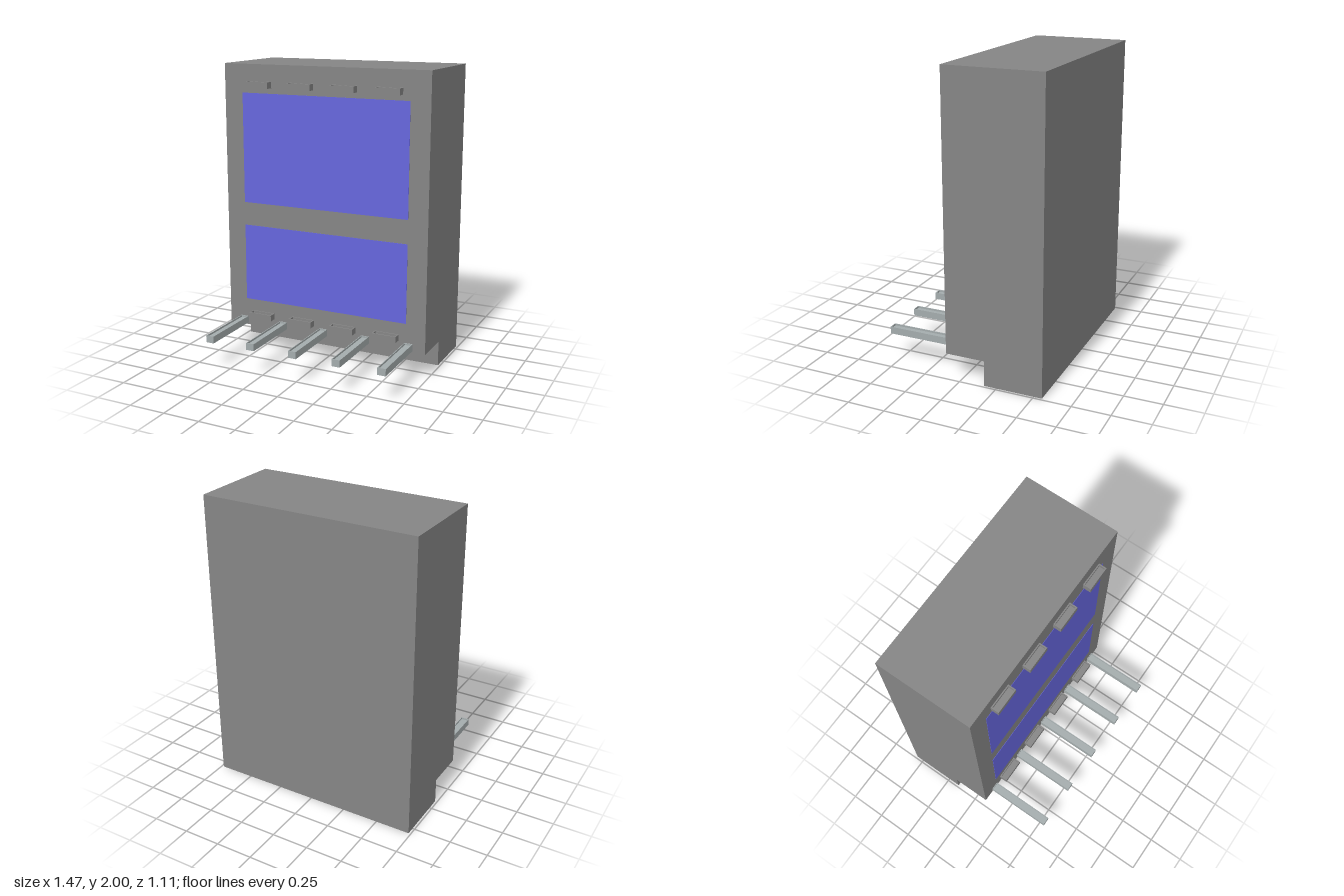
import * as THREE from 'three';

const darkGrey = new THREE.MeshStandardMaterial({ color: 0x858585 });
const metal = new THREE.MeshStandardMaterial({ color: 0xa4acad });
const blue = new THREE.MeshStandardMaterial({ color: 0x6666dd });

function rectangle(Type, w, d) {
  return new Type([
    new THREE.Vector2(-w / 2, -d / 2), new THREE.Vector2(w / 2, -d / 2),
    new THREE.Vector2(w / 2, d / 2), new THREE.Vector2(-w / 2, d / 2),
  ]);
}

function box(name, w, h, d, x, y, z, material) {
  const mesh = new THREE.Mesh(new THREE.BoxGeometry(w, h, d), material);
  mesh.name = name;
  mesh.position.set(x, y, z);
  return mesh;
}

// Block with a shallow pocket in its top; y0 is the underside
function pocketBlock(name, w, h, d, rim, depth, x, y0, z, material) {
  const part = new THREE.Group();
  part.name = name;
  const base = box(name + 'Base', w, h - depth, d, 0, (h - depth) / 2, 0, material);
  const shape = rectangle(THREE.Shape, w, d);
  shape.holes.push(rectangle(THREE.Path, w - 2 * rim, d - 2 * rim));
  const edge = new THREE.ExtrudeGeometry(shape, { depth, bevelEnabled: false });
  edge.rotateX(-Math.PI / 2);
  edge.translate(0, h - depth, 0);
  const rimMesh = new THREE.Mesh(edge, material);
  rimMesh.name = name + 'Rim';
  part.add(base, rimMesh);
  part.position.set(x, y0, z);
  return part;
}

export function createModel() {
  const model = new THREE.Group();
  model.name = 'connectorModule';

  // Housing: side profile with a step under the front
  const profile = new THREE.Shape([
    [-0.555, 0], [-0.165, 0], [-0.165, 0.17], [0.1, 0.17], [0.1, 2], [-0.555, 2],
  ].map(([z, y]) => new THREE.Vector2(-z, y)));
  const housingGeometry = new THREE.ExtrudeGeometry(profile, { depth: 1.47, bevelEnabled: false });
  housingGeometry.translate(0, 0, -0.735);
  housingGeometry.rotateY(Math.PI / 2);
  const housing = new THREE.Mesh(housingGeometry, darkGrey);
  housing.name = 'housing';
  model.add(housing);

  // Thin coloured panels on the front
  model.add(box('upperPanel', 1.2, 0.75, 0.003, 0, 1.434, 0.101, blue));
  model.add(box('lowerPanel', 1.2, 0.535, 0.003, 0, 0.631, 0.101, blue));

  // Two rows of standoff blocks
  for (const y of [0.24, 1.846]) {
    for (const x of [-0.465, -0.155, 0.155, 0.465]) {
      model.add(pocketBlock('standoff', 0.17, 0.042, 0.055, 0.008, 0.018, x, y, 0.1275, darkGrey));
    }
  }

  // Row of contact pins
  for (let i = -2; i <= 2; i++) {
    model.add(pocketBlock('pin', 0.057, 0.048, 0.455, 0.005, 0.012, i * 0.31, 0.183, 0.3275, metal));
  }
  return model;
}
